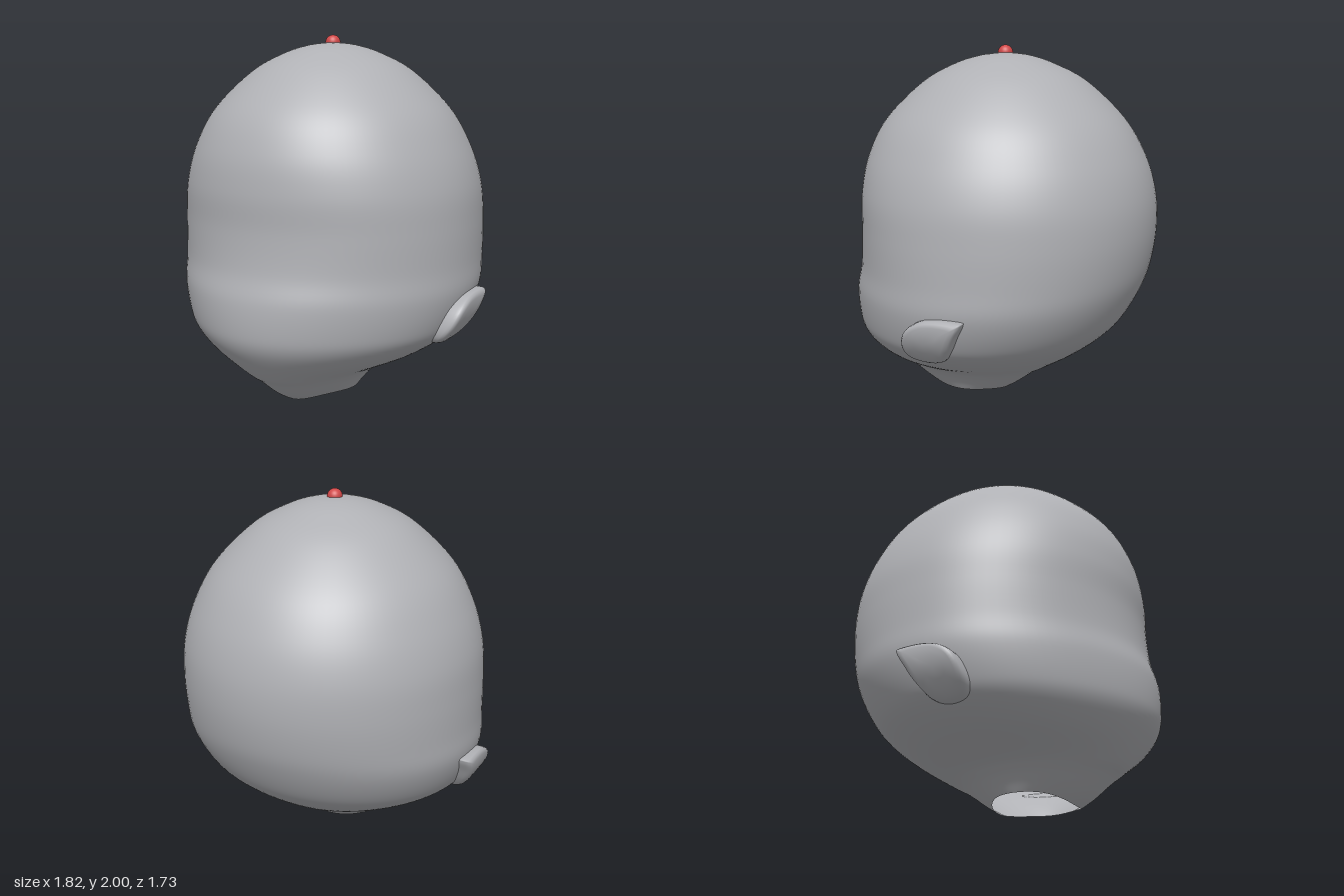
import * as THREE from 'three';

const skin = new THREE.MeshStandardMaterial({ color: 0xb0b1b5, side: THREE.DoubleSide });
skin.name = 'grey';
const red = new THREE.MeshStandardMaterial({ color: 0xd04848 });
red.name = 'red';

// Smooth surface through closed rings; point(t, u) gives a position, t along the rings, u around
function loft(rows, cols, point) {
  const pos = [], index = [];
  for (let i = 0; i <= rows; i++)
    for (let j = 0; j < cols; j++) pos.push(...point(i / rows, j / cols));
  for (let i = 0; i < rows; i++)
    for (let j = 0; j < cols; j++) {
      const p = i * cols + j, q = i * cols + (j + 1) % cols;
      if (i > 0) index.push(p, q, p + cols);
      index.push(q, q + cols, p + cols);
    }
  const g = new THREE.BufferGeometry();
  g.setAttribute('position', new THREE.Float32BufferAttribute(pos, 3));
  g.setIndex(index);
  g.computeVertexNormals();
  // the first ring is a single point, so its normals are shared
  const n = g.attributes.normal, sum = new THREE.Vector3();
  for (let j = 0; j < cols; j++) sum.add(new THREE.Vector3().fromBufferAttribute(n, j));
  sum.normalize();
  for (let j = 0; j < cols; j++) n.setXYZ(j, sum.x, sum.y, sum.z);
  return g;
}

// Head levels: height, half width, front z, back z
const levels = [
  [1.96, 0, 0, 0], [1.945, 0.13, 0.13, -0.13], [1.9, 0.27, 0.28, -0.27],
  [1.8, 0.45, 0.46, -0.46], [1.6, 0.655, 0.665, -0.67], [1.4, 0.77, 0.765, -0.79],
  [1.2, 0.835, 0.80, -0.85], [1.0, 0.855, 0.80, -0.86], [0.8, 0.86, 0.82, -0.83],
  [0.65, 0.86, 0.86, -0.775], [0.5, 0.815, 0.866, -0.69], [0.4, 0.75, 0.845, -0.60],
  [0.3, 0.61, 0.78, -0.47], [0.2, 0.40, 0.69, -0.31], [0.15, 0.33, 0.62, -0.22],
  [0.1, 0.285, 0.53, -0.13], [0.05, 0.25, 0.42, -0.04],
];
const spline = (pts, closed = false) => new THREE.CatmullRomCurve3(pts, closed, 'catmullrom', 0.5);
const frontCurve = spline(levels.map(([y, w, f]) => new THREE.Vector3(w, y, f)));
const backCurve = spline(levels.map(([y, , , b]) => new THREE.Vector3(0, y, b)));

function headPoint(t, u) {
  const { x: w, y, z: f } = frontCurve.getPoint(t);
  const b = backCurve.getPoint(t).z;
  const a = u * Math.PI * 2, c = Math.cos(a), s = Math.sin(a);
  // the widest line moves forward towards the neck
  const zc = 0.17 * (1 - THREE.MathUtils.smoothstep(y, 0.05, 0.75));
  // the face narrows gently to a point lower down
  const pinch = s > 0 ? 0.13 * (1 - THREE.MathUtils.smoothstep(y, 0.4, 1.1)) : 0;
  // the neck rim dips at the front and back
  const dip = (s > 0 ? 0.045 : 0.025) * s ** 4 * (1 - THREE.MathUtils.smoothstep(y, 0.05, 0.16));
  return [w * c * (1 - pinch * s * s), y - dip, zc + (s > 0 ? f - zc : zc - b) * s];
}

// Teardrop ear outline as (z, y)
const earOutline = spline([
  [0.215, 0.47], [0.18, 0.57], [0.1, 0.63], [0, 0.652], [-0.125, 0.65], [-0.138, 0.63],
  [-0.1, 0.56], [-0.05, 0.47], [0.01, 0.40], [0.1, 0.378], [0.19, 0.40],
].map(([z, y]) => new THREE.Vector3(z, y, 0)), true);
// Ear rings from the middle outwards: outline scale, depth below the outer face
const earRings = [[0, 0], [0.4, 0], [0.75, 0.001], [0.9, 0.006], [0.97, 0.018], [1, 0.035], [1, 0.07], [0.97, 0.14]];

function earGeometry(side) {
  return loft(earRings.length - 1, 64, (t, u) => {
    const [k, depth] = earRings[Math.round(t * (earRings.length - 1))];
    const p = earOutline.getPoint(side > 0 ? u : (1 - u) % 1);
    const z = 0.07 + (p.x - 0.07) * k, y = 0.52 + (p.y - 0.52) * k;
    // the outer face leans in towards the jaw
    const outer = 0.91 - 2.1 * Math.max(0, 0.63 - y) ** 2;
    return [side * (outer - depth), y, z];
  });
}

export function createModel() {
  const model = new THREE.Group();
  model.name = 'headModel';
  const add = (name, geometry, material) => {
    const mesh = new THREE.Mesh(geometry, material);
    mesh.name = name;
    model.add(mesh);
    return mesh;
  };
  // Hollow head, open at the neck
  add('head', loft(96, 96, headPoint), skin);
  add('leftEar', earGeometry(1), skin);
  add('rightEar', earGeometry(-1), skin);
  // Small ball on the crown
  add('crownBall', new THREE.SphereGeometry(0.042, 32, 20), red).position.y = 1.958;
  return model;
}
